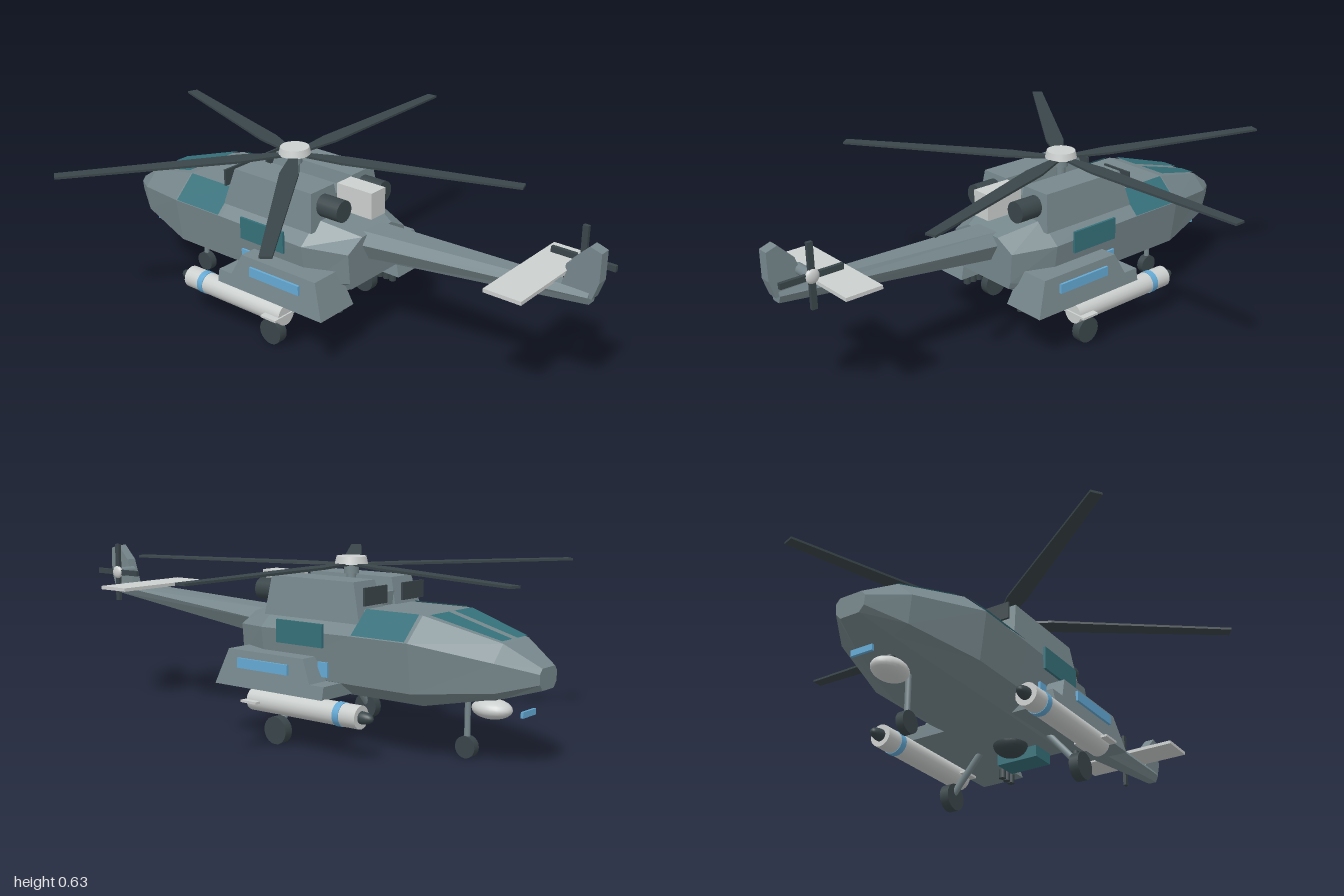
import * as THREE from 'three';

const mat = (name, color, side = THREE.FrontSide) => {
  const m = new THREE.MeshStandardMaterial({ color, side });
  m.name = name;
  return m;
};

// Flat-faced hull from cross-sections [z, half profile top to bottom], ordered from -z to +z
function loft(sections) {
  const rings = sections.map(([z, half]) => [
    ...half.map(([x, y]) => [-x, y, z]),
    ...half.slice().reverse().map(([x, y]) => [x, y, z]),
  ]);
  const n = rings[0].length, pos = [];
  const tri = (...p) => p.forEach((q) => pos.push(...q));
  for (let i = 0; i + 1 < rings.length; i++) {
    const A = rings[i], B = rings[i + 1];
    for (let j = 0; j < n; j++) {
      const k = (j + 1) % n;
      tri(A[j], A[k], B[j]);
      tri(A[k], B[k], B[j]);
    }
  }
  const first = rings[0], last = rings[rings.length - 1];
  for (let j = 1; j + 1 < n; j++) {
    tri(first[0], first[j + 1], first[j]);
    tri(last[0], last[j], last[j + 1]);
  }
  return fromPoints(pos);
}

function fromPoints(pos) {
  const g = new THREE.BufferGeometry();
  g.setAttribute('position', new THREE.Float32BufferAttribute(pos, 3));
  g.computeVertexNormals();
  return g;
}

const quad = (a, b, c, d) => fromPoints([a, b, c, a, c, d].flat());

// Plate outline given as [z, y], extruded across x and centred
function sidePlate(points, width) {
  const shape = new THREE.Shape(points.map(([z, y]) => new THREE.Vector2(-z, y)));
  const g = new THREE.ExtrudeGeometry(shape, { depth: width, bevelEnabled: false });
  return g.translate(0, 0, -width / 2).rotateY(Math.PI / 2);
}

export function createModel() {
  const body = mat('body grey', 0x76878c);
  const dark = mat('dark grey', 0x3a464a);
  const light = mat('light grey', 0xcbcfcd);
  const teal = mat('teal glass', 0x35707a, THREE.DoubleSide);
  const blue = mat('blue marking', 0x64a9d4);

  const root = new THREE.Group();
  root.name = 'helicopter';
  const craft = new THREE.Group();
  craft.name = 'airframe';
  craft.position.x = -0.078;
  root.add(craft);

  const add = (name, geo, m, x = 0, y = 0, z = 0, parent = craft) => {
    const mesh = new THREE.Mesh(geo, m);
    mesh.name = name;
    mesh.position.set(x, y, z);
    parent.add(mesh);
    return mesh;
  };
  const box = (w, h, d) => new THREE.BoxGeometry(w, h, d);
  const cyl = (r, h, n = 16, r2 = r) => new THREE.CylinderGeometry(r, r2, h, n);
  const rod = (r, h, n = 20) => cyl(r, h, n).rotateX(Math.PI / 2);
  const ball = (r, sx = 1, sy = 1, sz = 1) => new THREE.SphereGeometry(r, 20, 14).scale(sx, sy, sz);

  // Fuselage
  const cabin = [[0.137, 0.475], [0.222, 0.395], [0.2, 0.23], [0.125, 0.18]];
  add('fuselage', loft([
    [-0.985, [[0.04, 0.335], [0.055, 0.318], [0.052, 0.285], [0.035, 0.265]]],
    [-0.87, [[0.08, 0.405], [0.135, 0.35], [0.125, 0.255], [0.07, 0.23]]],
    [-0.61, cabin],
    [-0.38, cabin],
    [0, [[0.137, 0.463], [0.222, 0.39], [0.2, 0.235], [0.125, 0.175]]],
    [0.15, [[0.08, 0.42], [0.155, 0.38], [0.145, 0.27], [0.135, 0.245]]],
  ]), body);
  add('tailBoom', loft([
    [0.1, [[0.05, 0.425], [0.082, 0.385], [0.045, 0.32]]],
    [0.97, [[0.016, 0.465], [0.028, 0.445], [0.016, 0.418]]],
  ]), body);

  // Tail fin, stabiliser and tail rotor
  add('tailFin', sidePlate([[0.87, 0.45], [0.98, 0.44], [1, 0.5], [1, 0.597], [0.96, 0.61], [0.905, 0.555]], 0.04), body);
  add('stabiliser', box(0.416, 0.013, 0.135), light, 0, 0.461, 0.783);
  add('tailRotorShaft', cyl(0.018, 0.08).rotateZ(Math.PI / 2), body, 0.045, 0.51, 0.889);
  const tailRotor = new THREE.Group();
  tailRotor.name = 'tailRotor';
  tailRotor.position.set(0.084, 0.51, 0.889);
  craft.add(tailRotor);
  add('tailRotorHub', ball(0.025, 0.5), light, 0.004, 0, 0, tailRotor);
  add('tailBladePair', box(0.013, 0.225, 0.02), dark, 0, 0, 0, tailRotor);
  add('tailBladePair', box(0.013, 0.02, 0.225), dark, 0, 0, 0, tailRotor);

  // Main rotor
  const rotor = new THREE.Group();
  rotor.name = 'mainRotor';
  rotor.position.set(0, 0.605, -0.22);
  craft.add(rotor);
  add('mast', cyl(0.017, 0.17), body, 0, -0.085, 0, rotor);
  add('mastCollar', cyl(0.026, 0.035), body, 0, -0.014, 0, rotor);
  add('hub', cyl(0.052, 0.026, 24, 0.058), light, 0, 0.015, 0, rotor);
  const bladeShape = new THREE.Shape([
    [0.03, -0.013], [0.19, -0.033], [0.825, -0.02], [0.825, 0.02], [0.19, 0.033], [0.03, 0.013],
  ].map((p) => new THREE.Vector2(...p)));
  const bladeGeo = new THREE.ExtrudeGeometry(bladeShape, { depth: 0.008, bevelEnabled: false })
    .rotateX(-Math.PI / 2).translate(0, -0.004, 0);
  for (let i = 0; i < 5; i++) {
    add('rotorBlade', bladeGeo, dark, 0, 0, 0, rotor).rotation.y = i * Math.PI * 0.4;
  }

  // Engine deck between the cowlings
  add('engineDeck', box(0.09, 0.08, 0.36), body, 0, 0.48, -0.19);
  add('exhaustBox', box(0.074, 0.095, 0.15), light, 0, 0.518, 0.08);

  // Engine cowling, narrower at the top
  const cowlGeo = sidePlate([[0.015, 0.43], [-0.395, 0.43], [-0.355, 0.565], [0, 0.565]], 1);
  // Stub wing pod
  const podGeo = sidePlate([[0.15, 0.185], [-0.33, 0.185], [-0.33, 0.23], [-0.27, 0.23], [-0.23, 0.31], [0.105, 0.31]], 1);
  const taper = (g, y0, w0, y1, w1) => {
    const p = g.attributes.position;
    for (let i = 0; i < p.count; i++) {
      p.setX(i, p.getX(i) * THREE.MathUtils.mapLinear(p.getY(i), y0, y1, w0, w1));
    }
    g.computeVertexNormals();
  };
  taper(cowlGeo, 0.43, 0.158, 0.565, 0.117);
  taper(podGeo, 0.185, 0.17, 0.31, 0.124);

  for (const s of [-1, 1]) {
    // Engines
    add('engineCowling', cowlGeo, body, s * 0.107);
    add('engineIntake', box(0.125, 0.06, 0.008), dark, s * 0.107, 0.52, -0.402);
    add('exhaust', rod(0.039, 0.1), dark, s * 0.109, 0.508, 0.045);

    // Windows
    add('windscreen', quad([s * 0.016, 0.477, -0.63], [s * 0.125, 0.477, -0.63],
      [s * 0.078, 0.412, -0.865], [s * 0.016, 0.412, -0.865]), teal);
    add('cockpitSideWindow', quad([s * 0.142, 0.478, -0.39], [s * 0.142, 0.478, -0.6],
      [s * 0.225, 0.399, -0.6], [s * 0.225, 0.399, -0.39]), teal);
    add('cabinWindow', box(0.009, 0.08, 0.2), teal, s * 0.226, 0.385, -0.175);

    // Pods and their markings
    add('stubWingPod', podGeo, body, s * 0.212);
    add('podStripe', box(0.009, 0.035, 0.225), blue, s * 0.29, 0.268, -0.065);
    add('sideMarking', box(0.009, 0.05, 0.04), blue, s * 0.212, 0.27, -0.267);
    for (let i = 0; i < 3; i++) {
      add('podVent', cyl(0.013, 0.04, 10), dark, s * 0.15, 0.172, 0.05 + i * 0.028);
    }

    // Missiles
    const missile = new THREE.Group();
    missile.name = 'missile';
    missile.position.set(s * 0.282, 0.15, 0);
    craft.add(missile);
    add('missileBody', rod(0.039, 0.46), light, 0, 0, -0.25, missile);
    add('missileBand', rod(0.041, 0.025), blue, 0, 0, -0.403, missile);
    add('missileNose', ball(0.021, 1, 1, 2.1), dark, 0, 0, -0.483, missile);
    add('missileFin', box(0.124, 0.008, 0.068), light, 0, 0, -0.048, missile);

    // Main landing gear
    add('mainWheel', cyl(0.048, 0.034, 20).rotateZ(Math.PI / 2), dark, s * 0.257, 0.048, -0.107);
    const strut = new THREE.LineCurve3(
      new THREE.Vector3(s * 0.25, 0.06, -0.107), new THREE.Vector3(s * 0.13, 0.2, -0.107));
    add('mainStrut', new THREE.TubeGeometry(strut, 1, 0.012, 10), body);
  }

  // Nose gear
  add('noseWheel', cyl(0.037, 0.028, 20).rotateZ(Math.PI / 2), dark, 0, 0.037, -0.7);
  add('noseStrut', cyl(0.01, 0.17, 10), body, 0, 0.135, -0.7);

  // Belly and nose sensors
  add('noseSensor', ball(0.07, 0.75, 0.47, 1), light, 0, 0.176, -0.79);
  add('sensorMount', cyl(0.02, 0.06, 12), dark, 0, 0.215, -0.79);
  add('noseProbe', box(0.08, 0.02, 0.009), blue, 0, 0.18, -0.92);
  add('bellyWindow', box(0.156, 0.045, 0.09), teal, 0, 0.158, -0.045);
  add('bellyDome', ball(0.06, 1, 0.75, 1), dark, 0, 0.18, -0.13);

  return root;
}
